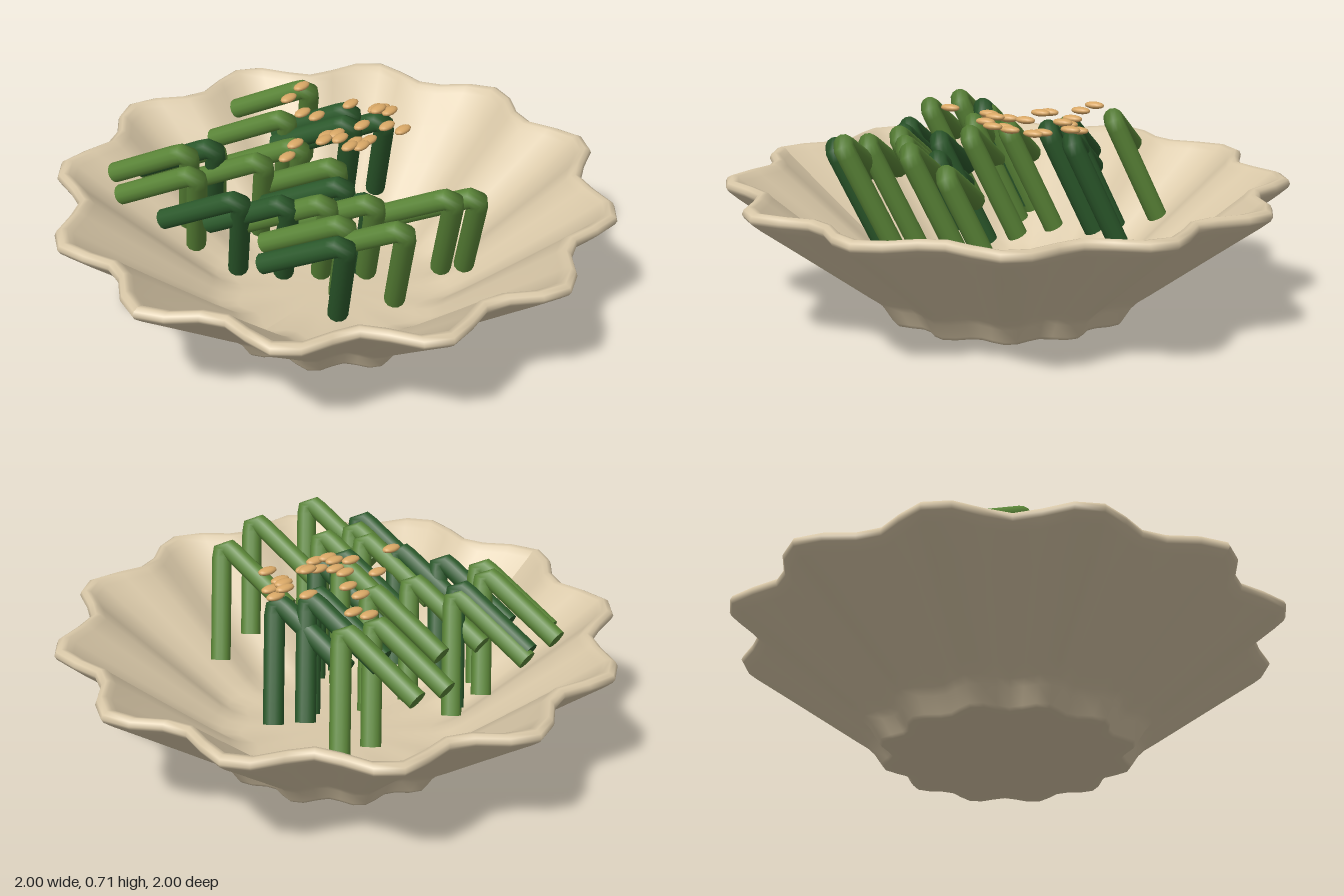
import * as THREE from 'three';
import { mergeGeometries } from 'three/addons/utils/BufferGeometryUtils.js';

const mat = (name, color) => Object.assign(new THREE.MeshStandardMaterial({ color }), { name });
const V = (x, y, z) => new THREE.Vector3(x, y, z);

// Bowl: a turned profile whose radius is fluted into twelve lobes
function makeBowl(material) {
  const profile = [
    [0, 0], [0.2, 0], [0.4, 0], [0.445, 0], [0.455, 0.012], [0.49, 0.065], [0.515, 0.09], [0.56, 0.122],
    [0.7, 0.225], [0.85, 0.335], [0.96, 0.415], [0.992, 0.441], [1, 0.455], [0.993, 0.47],
    [0.975, 0.478], [0.955, 0.474], [0.935, 0.455], [0.82, 0.367], [0.68, 0.262], [0.55, 0.165],
    [0.48, 0.115], [0.43, 0.085], [0.36, 0.066], [0.2, 0.06], [0, 0.06],
  ].map(([r, y]) => new THREE.Vector2(r, y));
  const geo = new THREE.LatheGeometry(profile, 64);
  const p = geo.attributes.position;
  for (let i = 0; i < p.count; i++) {
    const a = Math.atan2(p.getX(i), p.getZ(i));
    const s = (1 + 0.06 * Math.cos(12 * a)) / 1.06;
    p.setX(i, p.getX(i) * s);
    p.setZ(i, p.getZ(i) * s);
  }
  geo.computeVertexNormals();
  const bowl = new THREE.Mesh(geo, material);
  bowl.name = 'flutedBowl';
  return bowl;
}

// Bean: bent tube with a long arm to the side and a leg down to the back
const BEAN_RADIUS = 0.036;
function beanGeometry() {
  const tip = V(-0.31, -0.17, 0.06), bend = V(0, 0, 0), foot = V(-0.14, -0.39, -0.125);
  const a = bend.clone().lerp(tip, 0.17), c = bend.clone().lerp(foot, 0.13);
  const path = new THREE.CurvePath();
  path.add(new THREE.LineCurve3(tip, a));
  path.add(new THREE.QuadraticBezierCurve3(a, bend, c));
  path.add(new THREE.LineCurve3(c, foot));
  const cap = (end, from) => {
    const q = new THREE.Quaternion().setFromUnitVectors(V(0, 0, 1), end.clone().sub(from).normalize());
    return new THREE.CircleGeometry(BEAN_RADIUS, 12).applyQuaternion(q).translate(end.x, end.y, end.z);
  };
  return mergeGeometries([new THREE.TubeGeometry(path, 28, BEAN_RADIUS, 12), cap(tip, a), cap(foot, c)]);
}

export function createModel() {
  const model = new THREE.Group();
  model.name = 'beanDish';
  const clay = mat('clay', 0xd9c8a8);
  const light = mat('lightGreen', 0x5b8638);
  const dark = mat('darkGreen', 0x2c5a2c);
  const tan = mat('seedTan', 0xd9a866);
  model.add(makeBowl(clay));

  // Beans, placed by the position of their bend: x, y, z
  const lightBeans = [
    [-0.31, 0.67, -0.25], [-0.27, 0.63, -0.08], [0.57, 0.62, -0.08], [0.57, 0.68, 0.06],
    [0.57, 0.68, 0.32], [-0.09, 0.64, 0.06], [0.11, 0.65, 0.1], [0.36, 0.65, 0.21],
    [-0.12, 0.64, 0.22], [-0.31, 0.68, 0.39], [-0.21, 0.66, 0.46], [0.24, 0.65, 0.31],
    [0.36, 0.64, 0.36], [-0.3, 0.64, 0.26],
  ];
  const darkBeans = [
    [0.03, 0.65, -0.26], [-0.02, 0.67, -0.14], [-0.07, 0.68, -0.2], [0.2, 0.64, 0.17],
    [0.28, 0.59, 0.13], [-0.29, 0.66, 0.28], [-0.03, 0.62, 0.44], [0.12, 0.63, 0.37], [0.43, 0.63, 0.45],
  ];
  const geo = beanGeometry();
  const beans = new THREE.Group();
  beans.name = 'beans';
  for (const [list, material, name] of [[lightBeans, light, 'lightBean'], [darkBeans, dark, 'darkBean']]) {
    for (const [x, y, z] of list) {
      const bean = new THREE.Mesh(geo, material);
      bean.name = name;
      bean.position.set(x, y, z);
      beans.add(bean);
    }
  }
  model.add(beans);

  // Seeds: small flat ovals scattered over the top
  const seedGeo = new THREE.SphereGeometry(1, 12, 8).scale(0.021, 0.013, 0.038);
  const seedSpots = [
    [0, -0.28], [0.04, -0.27], [0, -0.24], [0.02, -0.23], [0.09, -0.19], [0.16, -0.19], [-0.09, -0.21],
    [-0.3, -0.19], [-0.31, -0.13], [-0.19, -0.065], [-0.125, -0.065], [0.05, -0.1], [0.105, -0.07],
    [-0.02, 0.01], [0.01, -0.01], [0.05, 0.02], [0.075, -0.03], [0.12, -0.01], [0.1, 0.03],
    [0.015, 0.065], [-0.075, 0.11], [-0.005, 0.235],
  ];
  const seeds = new THREE.Group();
  seeds.name = 'seeds';
  seedSpots.forEach(([x, z], i) => {
    const seed = new THREE.Mesh(seedGeo, tan);
    seed.name = 'seed';
    seed.position.set(x, i === seedSpots.length - 1 ? 0.7 : 0.672 + 0.009 * ((i * 5) % 4), z);
    seeds.add(seed);
  });
  model.add(seeds);
  return model;
}
